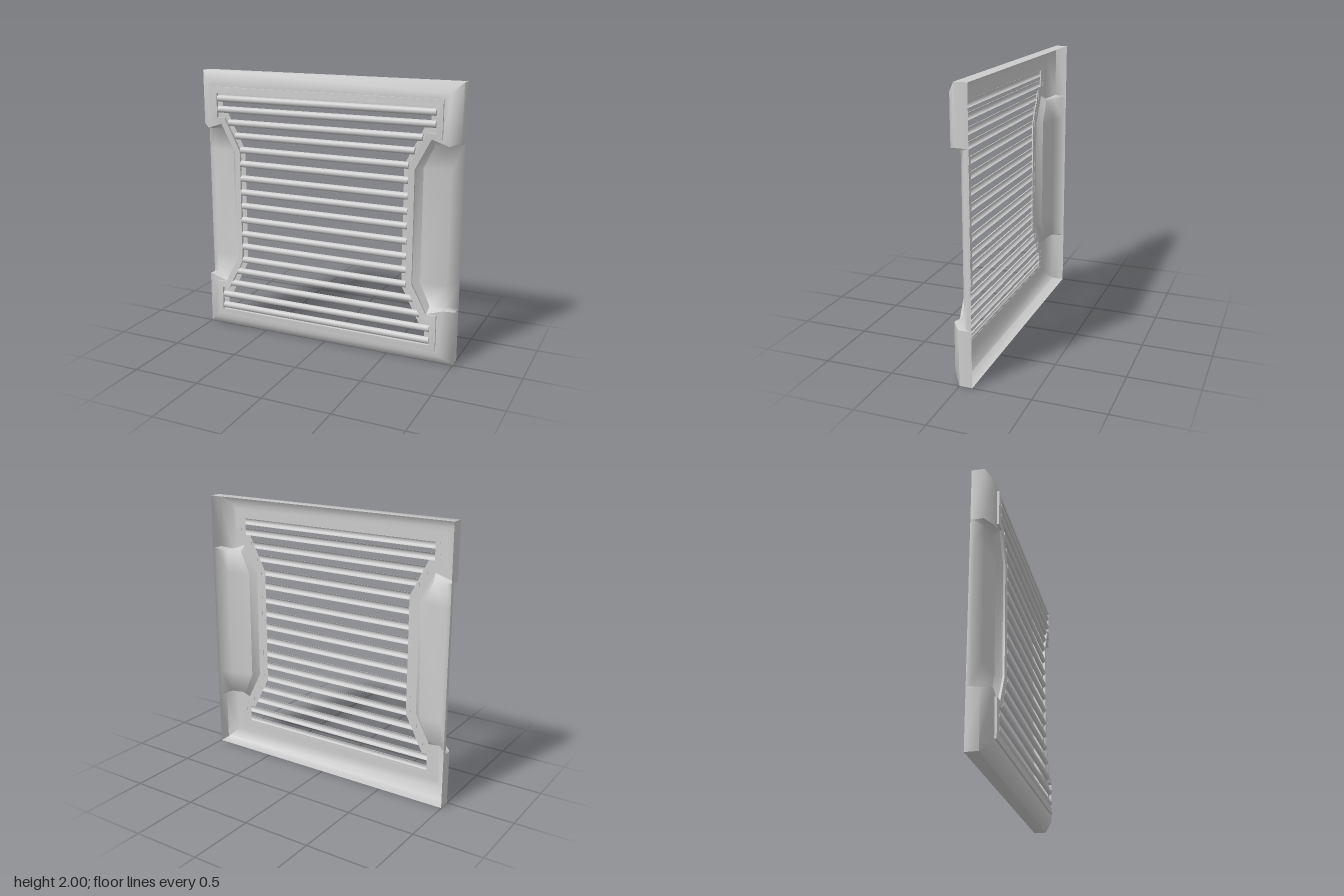
import * as THREE from 'three';
import { toCreasedNormals } from 'three/addons/utils/BufferGeometryUtils.js';

const flipX = pts => pts.map(([x, y, z]) => [-x, y, z]).reverse();
const flipY = pts => pts.map(([x, y, z]) => [x, 2 - y, z]).reverse();
const halfTurn = pts => pts.map(([x, y, z]) => [-x, 2 - y, z]);
const atZ = (pts, z) => pts.map(([x, y]) => [x, y, z]);

// Skins a surface across a list of cross-section lines, outermost first
function skin(out, lines, closed = false) {
  for (let k = 0; k + 1 < lines.length; k++) {
    const a = lines[k], b = lines[k + 1], n = a.length;
    for (let i = 0; i < (closed ? n : n - 1); i++) {
      const j = (i + 1) % n;
      out.push(...a[i], ...a[j], ...b[i], ...a[j], ...b[j], ...b[i]);
    }
  }
}

// Skins the lines and their copy turned half way round the centre
function skinTwice(out, lines) {
  skin(out, lines);
  skin(out, lines.map(halfTurn));
}

function surfaceMesh(positions, name, material, crease) {
  const geo = new THREE.BufferGeometry();
  geo.setAttribute('position', new THREE.Float32BufferAttribute(positions, 3));
  const mesh = new THREE.Mesh(toCreasedNormals(geo, crease), material);
  mesh.name = name;
  return mesh;
}

// Full closed contour from its upper right quarter
function contour(quarter) {
  const top = [...quarter, ...flipX(quarter)];
  return [...top, ...halfTurn(top)];
}

export function createModel() {
  const group = new THREE.Group();
  const material = new THREE.MeshStandardMaterial({ color: 0xcccccc, side: THREE.DoubleSide });
  const FACE = 0.06, BACK = -0.09, FLOOR_EDGE = -0.06;

  const outer = contour([[0.7, 1.41], [0.81, 1.62], [0.885, 1.62], [0.885, 1.89]]);
  const inner = contour([[0.657, 1.425], [0.782, 1.665], [0.842, 1.665], [0.842, 1.845]]);
  const hole = contour([[0.62, 1.435], [0.757, 1.7], [0.8, 1.7], [0.8, 1.825]]);

  // Hollow bevelled frame: top band with its two corner blocks, turned for the bottom,
  // and the thin face plate running in to the opening
  const arch = pts => [...pts, ...flipX(pts)];
  const frame = [];
  skinTwice(frame, [
    arch([[1, 1.6, BACK], [1, 1.6, BACK], [1, 2, BACK]]),
    arch([[1, 1.6, 0], [1, 1.6, 0], [1, 2, 0]]),
    arch([[0.93, 1.58, FACE], [0.93, 1.58, FACE], [0.93, 1.93, FACE]]),
    arch([[0.81, 1.62, FACE], [0.885, 1.62, FACE], [0.885, 1.89, FACE]]),
  ]);
  skin(frame, [atZ(outer, FACE), atZ(hole, FACE)], true);
  group.add(surfaceMesh(frame, 'frame', material, 1.2));

  // Side recesses: outer wall, falling floor, end walls and inner wall up to the lip
  const span = pts => [...flipY(pts), ...pts];
  const floorLine = span([[0.745, 1.41, 0.02], [0.82, 1.575, 0.02], [0.93, 1.575, -0.01], [1, 1.6, FLOOR_EDGE]]);
  const rimLine = span([[0.7, 1.41, FACE], [0.81, 1.62, FACE], [0.93, 1.58, FACE], [1, 1.6, 0]]);
  const edge = span([[1, 1.41, 0], [1, 1.575, 0], [1, 1.588, 0], [1, 1.6, 0]]);
  const knee = span([[0.93, 1.41, -0.01], [0.93, 1.575, -0.01], [0.93, 1.575, -0.01], [1, 1.6, FLOOR_EDGE]]);
  const recesses = [], innerWalls = [];
  skinTwice(recesses, [atZ(edge, BACK), atZ(edge, FLOOR_EDGE), knee, floorLine]);
  for (const start of [0, 5])
    skinTwice(recesses, [floorLine, rimLine].map(line => line.slice(start, start + 3)));
  skinTwice(innerWalls, [floorLine, rimLine].map(line => line.slice(2, 6)));
  group.add(surfaceMesh(recesses, 'sideRecesses', material, 1.75));
  group.add(surfaceMesh(innerWalls, 'recessInnerWalls', material, 0.95));

  // Raised lip standing on the face plate around the bars
  const lip = [];
  skin(lip, [atZ(outer, FACE), atZ(outer, 0.075), atZ(inner, 0.08), atZ(inner, FACE)], true);
  group.add(surfaceMesh(lip, 'lip', material, 0.95));

  // Half-round grille bars lying on the face plate: height and half length
  const bars = new THREE.Group();
  bars.name = 'grilleBars';
  const W = 0.655;
  const rows = [
    [0.185, 0.837], [0.275, 0.837], [0.375, 0.76], [0.48, 0.707], [0.58, W], [0.685, W],
    [0.785, W], [0.895, W], [1.005, W], [1.11, W], [1.217, W], [1.328, W], [1.432, W],
    [1.535, 0.695], [1.63, 0.748], [1.725, 0.837], [1.805, 0.837],
  ];
  for (const [y, half] of rows) {
    const geo = new THREE.CylinderGeometry(0.025, 0.025, half * 2, 14, 1, false, -Math.PI / 2, Math.PI);
    geo.rotateZ(Math.PI / 2);
    const bar = new THREE.Mesh(geo, material);
    bar.name = 'bar';
    bar.position.set(0, y, 0.058);
    bars.add(bar);
  }
  group.add(bars);
  return group;
}
